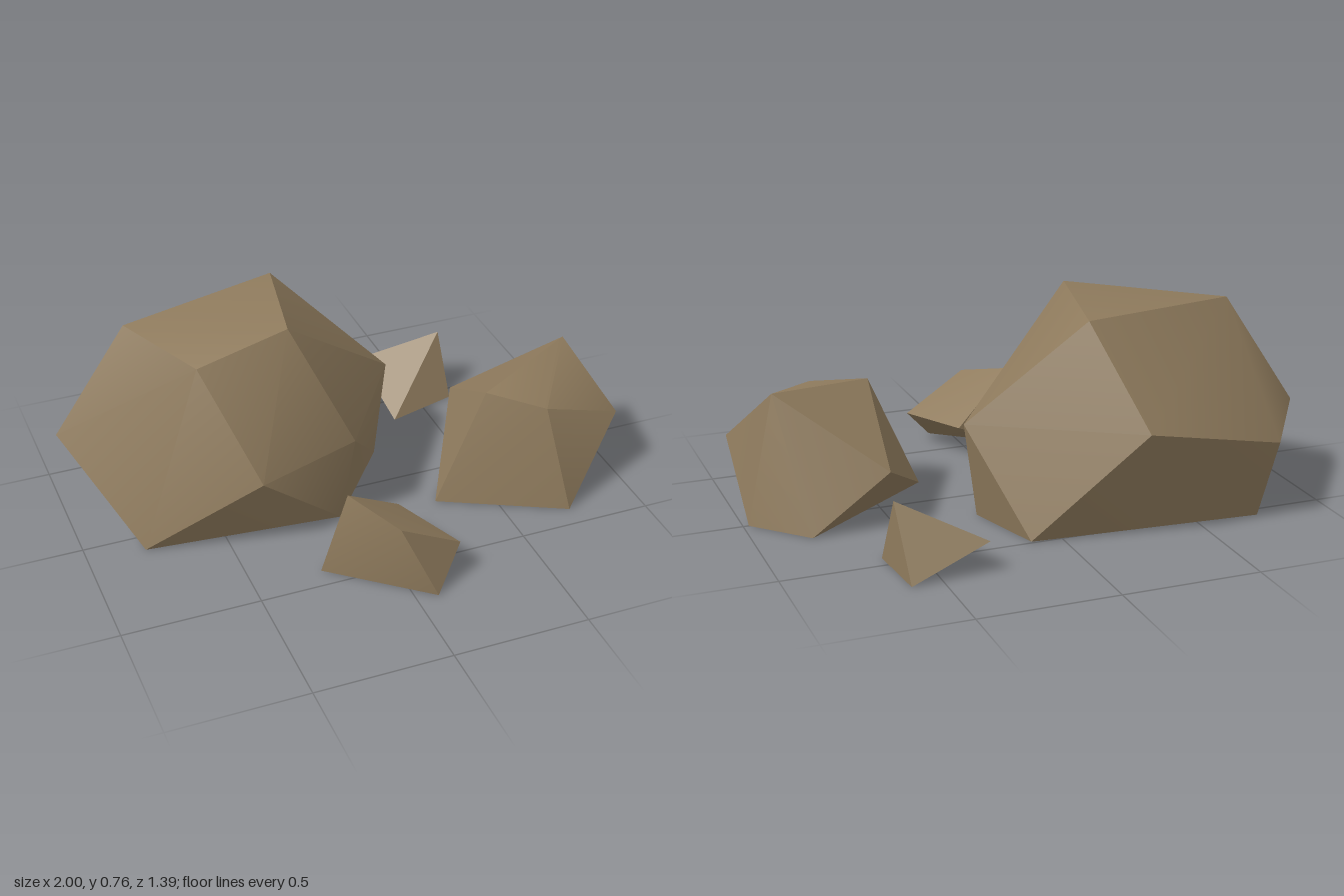
import * as THREE from 'three';
import { ConvexGeometry } from 'three/addons/geometries/ConvexGeometry.js';
import { toCreasedNormals } from 'three/addons/utils/BufferGeometryUtils.js';

const CREASE = THREE.MathUtils.degToRad(40);

// Each rock is a faceted boulder wrapped around a few corner points.
const rocks = {
  largeBoulder: [
    // flat base
    [-0.79, 0, 0.08], [-0.07, 0, 0.15], [0.2, 0, -0.19], [0.11, 0, -0.49], [-0.73, 0, -0.55],
    // widest ring
    [-1, 0.32, -0.28], [-0.77, 0.29, -0.62], [-0.25, 0.4, -0.67],
    [0.26, 0.36, -0.23], [-0.03, 0.35, 0.19], [-0.4, 0.3, 0.26],
    // crown
    [-0.73, 0.73, -0.26], [-0.56, 0.69, 0.05], [-0.22, 0.765, 0.03], [-0.13, 0.74, -0.41],
  ],
  mediumBoulder: [
    [0.29, 0, 0.19], [0.73, 0, 0.415], [0.98, 0, 0], [0.8, 0, -0.19],
    [0.52, 0.21, -0.205], [0.995, 0.26, 0.24],
    [0.48, 0.43, 0.185], [0.66, 0.4, 0.32], [0.88, 0.475, 0],
  ],
  smallFrontStone: [
    [-0.25, 0, 0.42], [0.08, 0, 0.695], [0.2, 0.13, 0.6], [0.08, 0.14, 0.33],
    [-0.04, 0.27, 0.635], [-0.16, 0.32, 0.445],
  ],
  smallBackStone: [
    [0.61, 0, -0.7], [0.63, 0, -0.44], [0.36, 0, -0.365],
    [0.33, 0.11, -0.68], [0.62, 0.245, -0.55],
  ],
};

export function createModel() {
  const group = new THREE.Group();
  group.name = 'rockCluster';
  const stone = new THREE.MeshStandardMaterial({ color: 0x8f7b5d });
  stone.name = 'brownStone';

  for (const [name, corners] of Object.entries(rocks)) {
    const hull = new ConvexGeometry(corners.map((p) => new THREE.Vector3(...p)));
    // gentle folds stay smooth, strong ridges stay sharp
    const mesh = new THREE.Mesh(toCreasedNormals(hull, CREASE), stone);
    mesh.name = name;
    group.add(mesh);
  }
  return group;
}
